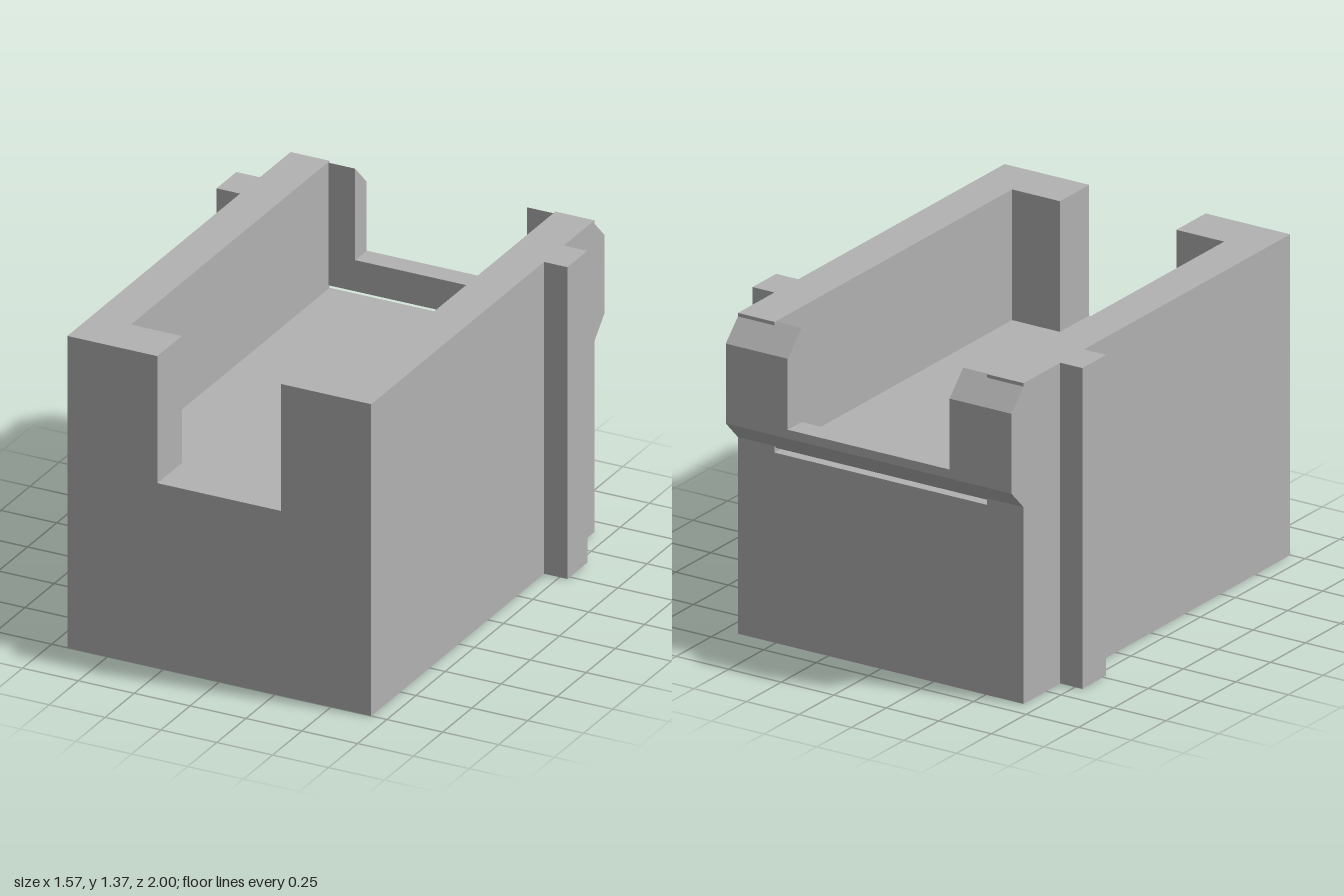
import * as THREE from 'three';

const FLOOR = 0.812, TOP = 1.37, BACK = -0.913, LIP_FRONT = -0.901;

// Extrudes an [x, z] footprint upward from y0 to y1
function slab(name, points, y0, y1, material) {
  const shape = new THREE.Shape(points.map(([x, z]) => new THREE.Vector2(x, -z)));
  const geo = new THREE.ExtrudeGeometry(shape, { depth: y1 - y0, bevelEnabled: false });
  geo.rotateX(-Math.PI / 2).translate(0, y0, 0);
  const mesh = new THREE.Mesh(geo, material);
  mesh.name = name;
  return mesh;
}

// Extrudes a [z, y] profile sideways from x0 to x1
function bar(name, points, x0, x1, material) {
  const shape = new THREE.Shape(points.map(([z, y]) => new THREE.Vector2(-z, y)));
  const geo = new THREE.ExtrudeGeometry(shape, { depth: x1 - x0, bevelEnabled: false });
  geo.rotateY(Math.PI / 2).translate(x0, 0, 0);
  // Shape x (-z) turns into world -z, so the profile keeps its z
  geo.computeVertexNormals();
  const mesh = new THREE.Mesh(geo, material);
  mesh.name = name;
  return mesh;
}

export function createModel() {
  const group = new THREE.Group();
  group.name = 'slidingTray';
  const grey = new THREE.MeshStandardMaterial({ color: 0xb2b2b2 });
  grey.name = 'grey';

  // Outer edge of one side, front to back, with the vertical guide rib
  const side = [[0.68, 1], [0.68, -0.48], [0.785, -0.48], [0.785, -0.65], [0.68, -0.65], [0.68, BACK]];
  const mirror = (pts) => pts.map(([x, z]) => [-x, z]).reverse();

  // Solid lower block
  group.add(slab('base', [...side, ...mirror(side)], 0, FLOOR, grey));

  // Side walls, each turning in at the front to leave a central notch
  const wall = [...side, [0.505, BACK], [0.505, 0.79], [0.277, 0.79], [0.277, 1]];
  group.add(slab('leftWall', wall, FLOOR, TOP, grey));
  group.add(slab('rightWall', mirror(wall), FLOOR, TOP, grey));

  // Chamfered rear lip: a low cross bar just above the floor, and two upright tabs
  const lowLip = [[LIP_FRONT, 0.828], [-1, 0.927], [-1, 0.965], [LIP_FRONT, 0.965]];
  const tab = [[LIP_FRONT, 0.965], [-1, 0.965], [-1, 1.268], [LIP_FRONT, 1.367]];
  group.add(bar('rearLip', lowLip, -0.68, 0.68, grey));
  group.add(bar('leftRearTab', tab, 0.385, 0.68, grey));
  group.add(bar('rightRearTab', tab, -0.68, -0.385, grey));

  return group;
}
